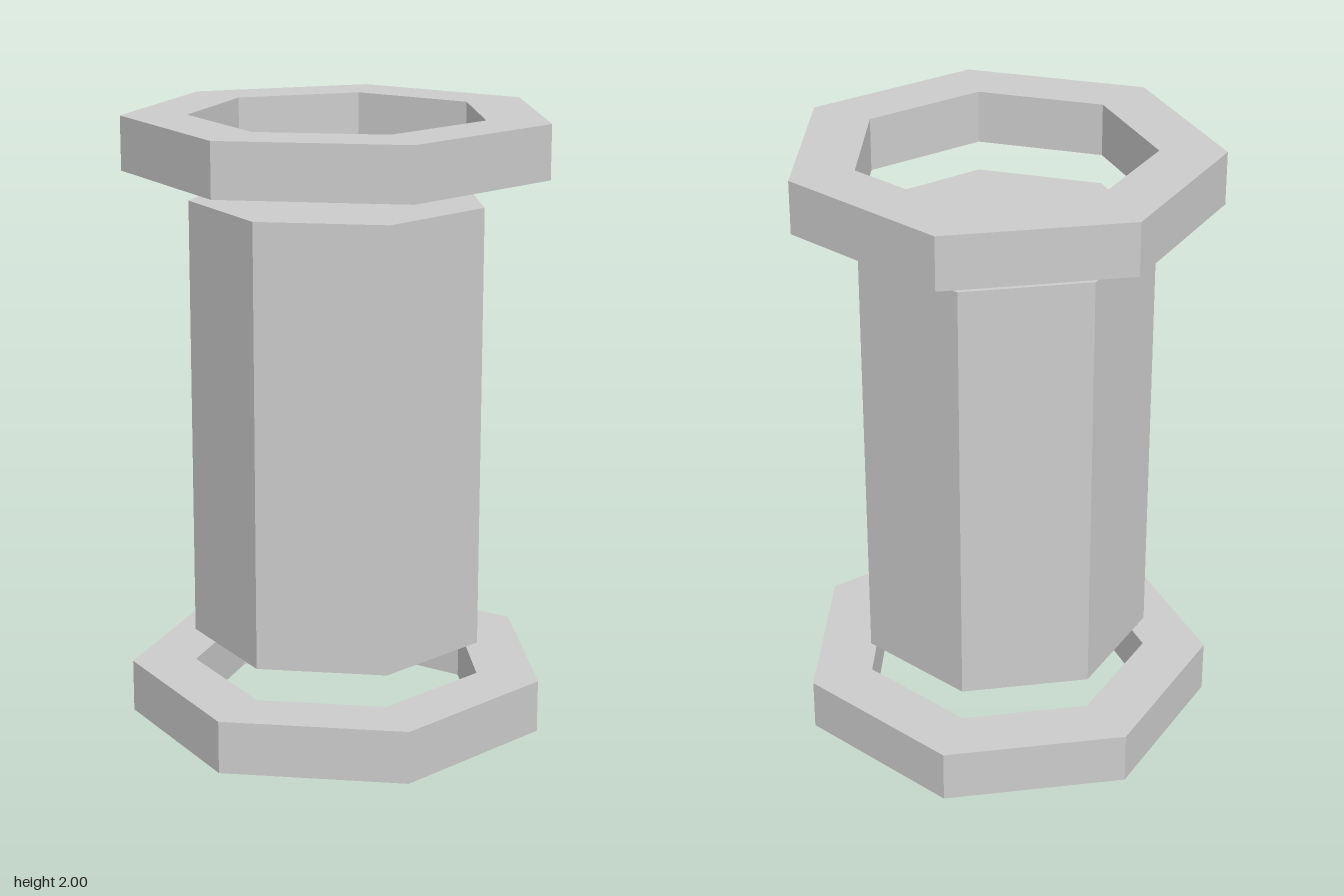
import * as THREE from 'three';

const SIDES = 7;
const OUTER = 0.692;   // corner radius of the end rings
const INNER = 0.482;   // corner radius of the core and of the ring holes
const RING_H = 0.174;
const CENTRE_Z = 0.032; // puts the heptagon's bounds evenly about z = 0

export function createModel() {
  const group = new THREE.Group();
  const material = new THREE.MeshStandardMaterial({ color: 0xcccccc, flatShading: true });

  const add = (name, geometry, y) => {
    const mesh = new THREE.Mesh(geometry, material);
    mesh.name = name;
    mesh.position.set(0, y, CENTRE_Z);
    group.add(mesh);
  };

  // Solid heptagonal core, one corner pointing to the back
  add('core', new THREE.CylinderGeometry(INNER, INNER, 1.446, SIDES, 1, false, Math.PI), 1.004);

  // Heptagonal end rings: a closed rectangular section turned in seven steps
  const section = [
    [INNER, 0], [OUTER, 0], [OUTER, RING_H], [INNER, RING_H], [INNER, 0],
  ].map(([r, y]) => new THREE.Vector2(r, y));
  const ring = new THREE.LatheGeometry(section, SIDES, Math.PI);
  add('bottomRing', ring, 0);
  add('topRing', ring, 2 - RING_H);

  return group;
}
